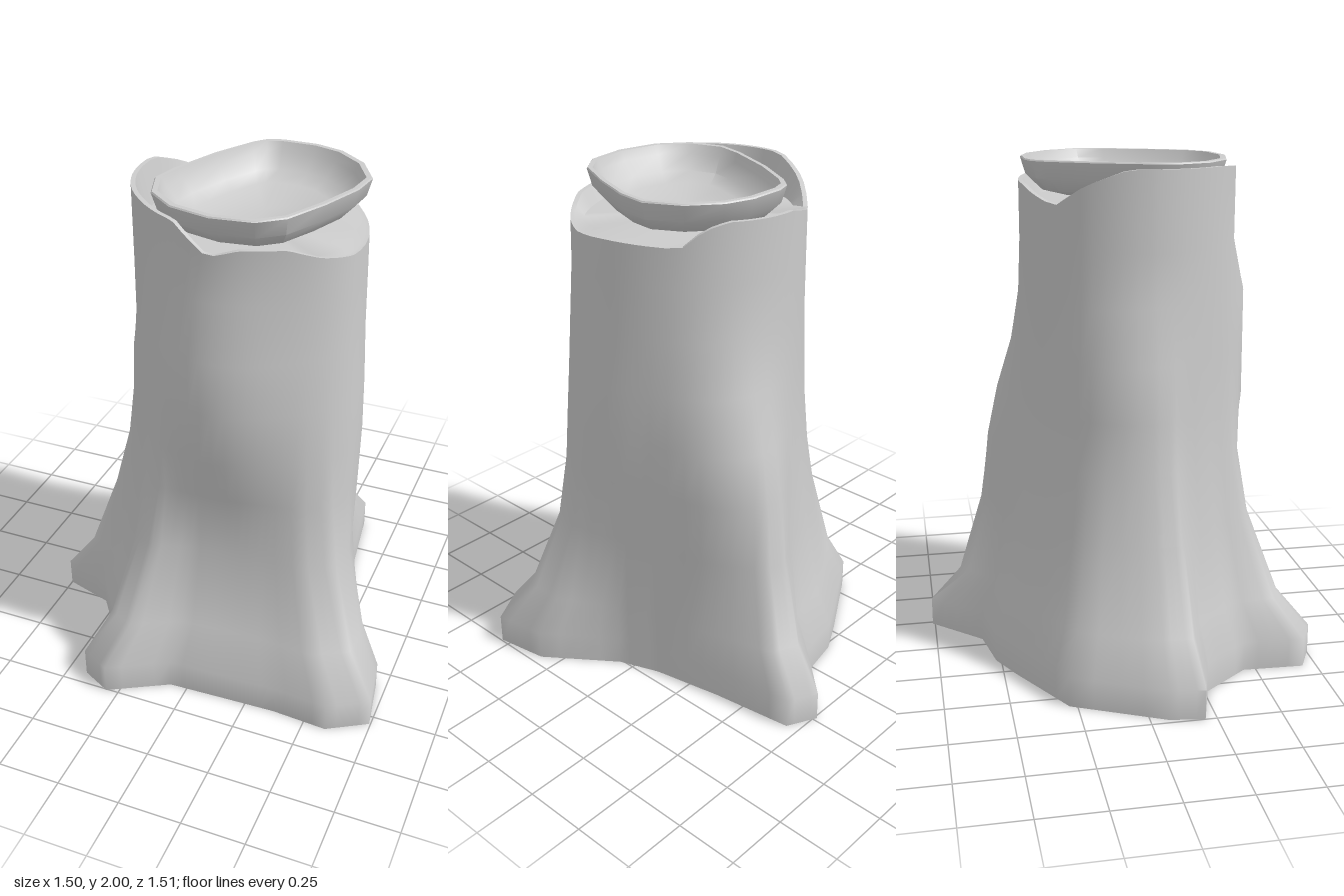
import * as THREE from 'three';
import { toCreasedNormals } from 'three/addons/utils/BufferGeometryUtils.js';

const material = new THREE.MeshStandardMaterial({ color: 0xcccccc });

// Skin closed rings (angle running from +x to +z), with optional centre points closing the ends.
function loft(rings, startCentre, endCentre, crease) {
  const n = rings[0].length;
  const pos = rings.flat(2);
  const index = [];
  for (let r = 0; r < rings.length - 1; r++) {
    for (let i = 0; i < n; i++) {
      const a = r * n + i, b = r * n + (i + 1) % n;
      index.push(a, a + n, b, b, a + n, b + n);
    }
  }
  const cap = (centre, first, flip) => {
    const c = pos.length / 3;
    pos.push(...centre);
    for (let i = 0; i < n; i++) {
      const a = first + i, b = first + (i + 1) % n;
      index.push(c, flip ? a : b, flip ? b : a);
    }
  };
  if (startCentre) cap(startCentre, 0, true);
  if (endCentre) cap(endCentre, (rings.length - 1) * n, false);
  const geometry = new THREE.BufferGeometry();
  geometry.setAttribute('position', new THREE.Float32BufferAttribute(pos, 3));
  geometry.setIndex(index);
  return toCreasedNormals(geometry, crease);
}

function addMesh(group, name, geometry) {
  const mesh = new THREE.Mesh(geometry, material);
  mesh.name = name;
  group.add(mesh);
}

// Insert a midpoint on every edge of a closed outline.
const subdivide = pts => pts.flatMap((p, i) => {
  const q = pts[(i + 1) % pts.length];
  return [p, [(p[0] + q[0]) / 2, (p[1] + q[1]) / 2]];
});

// Outline of the spreading roots on the ground, as x, z
const rootOutline = subdivide(subdivide([
  [0.235, -0.76], [0.35, -0.70], [0.395, -0.38], [0.45, -0.10], [0.51, 0.06], [0.71, 0.33],
  [0.745, 0.54], [0.59, 0.63], [0.37, 0.615], [0.15, 0.622], [-0.07, 0.63], [-0.30, 0.755],
  [-0.42, 0.695], [-0.41, 0.45], [-0.55, 0.265], [-0.75, 0.205], [-0.73, 0.07], [-0.565, -0.28],
  [-0.28, -0.45], [-0.15, -0.52], [0.05, -0.56],
]));
const angles = rootOutline.map(([x, z]) => Math.atan2(z - 0.05, x - 0.05));

// Swellings of the trunk: angle in degrees and sharpness, for the x-, +z, -z and x+ sides
const swellings = [[188, 8], [82, 4], [-62, 8], [22, 8]];

// Trunk levels: y, share of the root outline, amount of each swelling
const levels = [
  [0, 1, 0, 0, 0, 0],
  [0.12, 1, 0, 0, 0, 0],
  [0.27, 0.67, 0.03, -0.14, 0.03, 0.05],
  [0.6, 0.34, 0.025, -0.11, 0.09, 0.04],
  [0.86, 0.16, 0.02, -0.04, 0.13, 0.07],
  [1.06, 0.05, 0.045, 0.05, 0.115, 0.08],
  [1.27, 0.01, 0.05, 0.055, 0.055, 0.075],
  [1.48, 0, 0.005, 0.055, 0.015, 0.06],
  [1.69, 0, 0, 0, 0, 0.055],
];

// Swollen trunk outline at an angle, as x, z
function section(angle, amounts, scale = 1) {
  const push = swellings.reduce((sum, [deg, sharp], k) => sum
    + amounts[k] * Math.max(0, Math.cos(angle - THREE.MathUtils.degToRad(deg))) ** sharp, 0);
  return [0.045 + (0.425 * scale + push) * Math.cos(angle), 0.055 + (0.42 * scale + push) * Math.sin(angle)];
}

const trunkRing = ([y, t, ...amounts]) => rootOutline.map(([bx, bz], i) => {
  const [x, z] = section(angles[i], amounts);
  return [THREE.MathUtils.lerp(x, bx, t), y, THREE.MathUtils.lerp(z, bz, t)];
});

// Broken rim: angle in degrees, height
const rimHeights = [[0, 1.84], [20, 1.835], [37, 1.86], [52, 1.9], [73, 1.9], [89, 1.865], [107, 1.97],
  [135, 1.985], [190, 1.99], [212, 1.93], [230, 1.85], [260, 1.91], [300, 1.925], [312, 1.9], [323, 1.835],
  [360, 1.84]];

function rimHeight(angle) {
  const d = (THREE.MathUtils.radToDeg(angle) + 360) % 360;
  const k = Math.max(1, rimHeights.findIndex(h => h[0] >= d));
  return THREE.MathUtils.mapLinear(d, rimHeights[k - 1][0], rimHeights[k][0], rimHeights[k - 1][1], rimHeights[k][1]);
}

// Ring following the broken rim, or level when y is given
const rimRing = (scale, y) => angles.map(a => {
  const [x, z] = section(a, [0, 0, 0, 0.05], scale);
  return [x, y ?? rimHeight(a), z];
});

// Bowl outline as x, z
const bowlCentre = [0.1, 0.05];
const bowlOutline = [
  [-0.03, -0.325], [0.03, -0.345], [0.17, -0.345], [0.28, -0.31], [0.39, -0.22], [0.46, -0.09],
  [0.445, 0.03], [0.38, 0.2], [0.30, 0.36], [0.21, 0.43], [0.05, 0.45], [-0.11, 0.41],
  [-0.22, 0.32], [-0.265, 0.19], [-0.24, 0.08], [-0.16, -0.12], [-0.07, -0.28],
];
const bowlRing = ([scale, y]) => bowlOutline.map(([x, z]) => [
  bowlCentre[0] + (x - bowlCentre[0]) * scale, y, bowlCentre[1] + (z - bowlCentre[1]) * scale,
]);

export function createModel() {
  const group = new THREE.Group();
  group.name = 'treeStump';

  // Trunk with flaring roots and a flat underside
  const bark = [...levels.map(trunkRing), rimRing(1)];
  addMesh(group, 'trunk', loft(bark, [0.05, 0, 0.05], null, 1.3));

  // Thin broken rim and the cut wood inside it
  addMesh(group, 'rim', loft([rimRing(1), rimRing(0.96), rimRing(0.88, 1.845)], null, [0.045, 1.845, 0.055], 0.6));

  // Shallow bowl resting in the top: underside, lip, then hollow
  const bowlProfile = [[0.62, 1.86], [0.82, 1.88], [0.95, 1.93], [1, 1.995], [0.99, 2],
    [0.94, 2], [0.9, 1.965], [0.79, 1.91], [0.64, 1.88]];
  addMesh(group, 'bowl', loft(bowlProfile.map(bowlRing),
    [bowlCentre[0], 1.86, bowlCentre[1]], [bowlCentre[0], 1.88, bowlCentre[1]], 0.6));

  return group;
}
